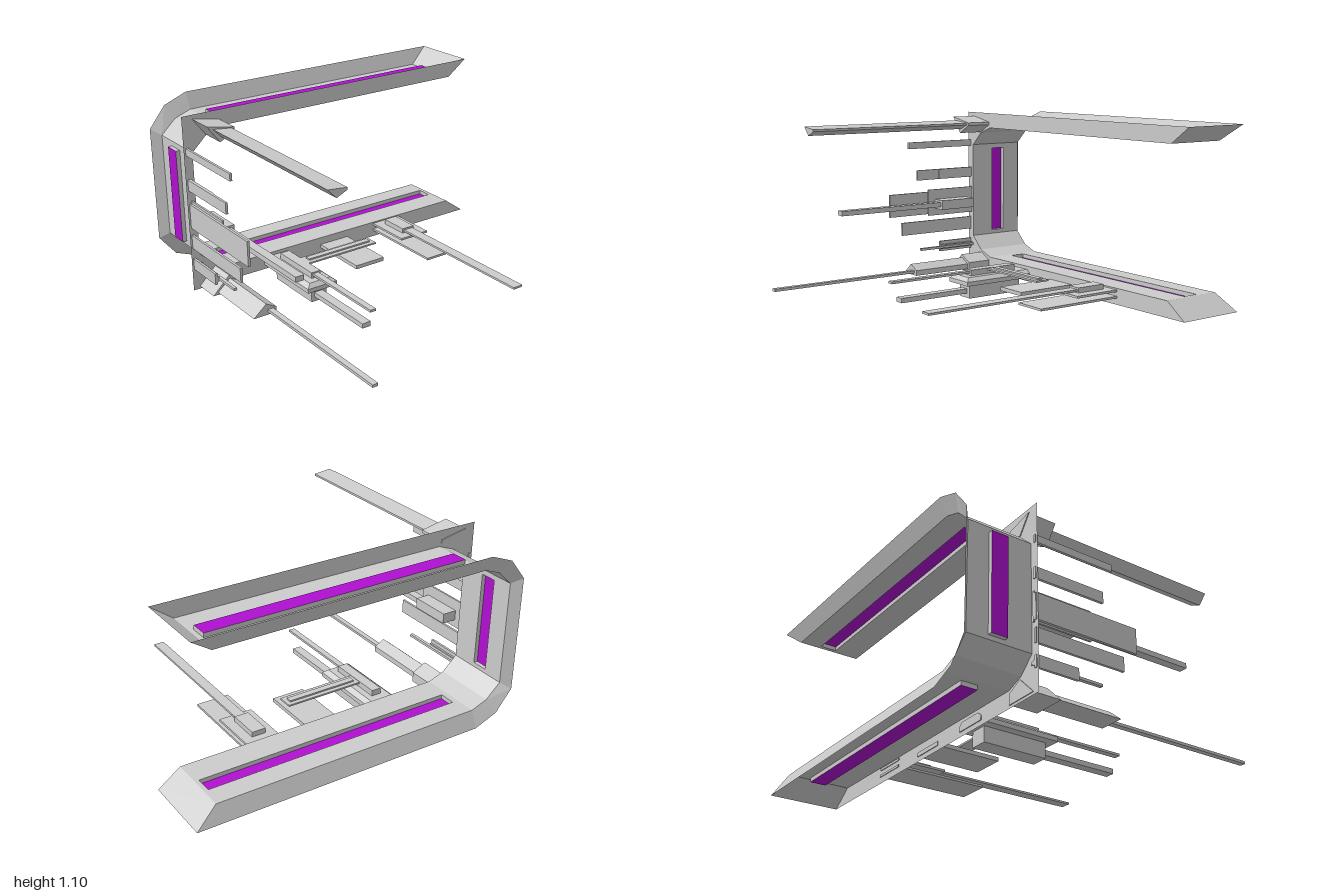
import * as THREE from 'three';

const FRONT = -0.55, BACK_IN = -0.922, BACK_OUT = -0.965, MID_Y = 0.58;

export function createModel() {
  const model = new THREE.Group();
  const grey = new THREE.MeshStandardMaterial({ color: 0xcccccc, flatShading: true });
  const shell = new THREE.MeshStandardMaterial({ color: 0xcccccc, flatShading: true, side: THREE.DoubleSide });
  const purple = new THREE.MeshStandardMaterial({ color: 0xb010d0, flatShading: true, side: THREE.DoubleSide });

  const add = (name, geometry, material = grey, parent = model) => {
    const mesh = new THREE.Mesh(geometry, material);
    mesh.name = name;
    parent.add(mesh);
    return mesh;
  };

  // Flat quads joining two rows of points
  const loft = (a, b, closed = false) => {
    const p = [];
    for (let i = 0; i < a.length - (closed ? 0 : 1); i++) {
      const j = (i + 1) % a.length;
      for (const v of [a[i], a[j], b[j], a[i], b[j], b[i]]) p.push(...v);
    }
    const g = new THREE.BufferGeometry();
    g.setAttribute('position', new THREE.Float32BufferAttribute(p, 3));
    g.computeVertexNormals();
    return g;
  };

  // Half outlines of the open frame, mirrored about its middle height
  const mirror = half => [...half, ...half.slice().reverse().map(([x, y]) => [x, 2 * MID_Y - y])];
  const at = (pts, z) => pts.map(([x, y]) => [x, y, z]);
  const inner = mirror([[0.87, 1.005], [-0.76, 1.005], [-0.86, 0.968], [-0.948, 0.885]]);
  const squareOuter = mirror([[1, 1.1], [-0.76, 1.1], [-1, 1.1], [-1, 0.885]]);
  const cutOuter = mirror([[1, 1.1], [-0.76, 1.1], [-0.9, 1.045], [-1, 0.92]]);

  const frame = new THREE.Group();
  frame.name = 'frame';
  model.add(frame);
  add('frontFace', loft(at(squareOuter, FRONT), at(inner, FRONT)), shell, frame);
  add('backFace', loft(at(cutOuter, BACK_OUT), at(inner, BACK_IN)), shell, frame);
  for (const [name, i] of [['upperCorner', 1], ['lowerCorner', 4]]) {
    const part = inner.slice(i, i + 3);
    add(name, loft(at(part, FRONT), at(part, BACK_IN)), shell, frame);
  }
  for (const [name, i] of [['upperEndCap', 0], ['lowerEndCap', 7]]) {
    const [ox, oy] = squareOuter[i], [ix, iy] = inner[i];
    add(name, loft([[ox, oy, FRONT], [ox, oy, BACK_OUT]], [[ix, iy, FRONT], [ix, iy, BACK_IN]]), shell, frame);
  }

  // Inner panel with a slot holding a recessed light strip
  const slottedPanel = (name, u0, u1, s0, s1, place) => {
    const rect = (a, b, z0, z1, d) => [[a, z0], [b, z0], [b, z1], [a, z1]].map(([u, z]) => place(u, z, d));
    const rim = rect(s0, s1, -0.8, -0.705, 0), floor = rect(s0, s1, -0.8, -0.705, 0.025);
    add(name + 'Panel', loft(rect(u0, u1, BACK_IN, FRONT, 0), rim, true), shell, frame);
    add(name + 'SlotWall', loft(rim, floor, true), shell, frame);
    add(name + 'Light', loft([floor[0], floor[1]], [floor[3], floor[2]]), purple, frame);
  };
  slottedPanel('upper', -0.76, 0.87, -0.725, 0.845, (u, z, d) => [u, 1.005 + d, z]);
  slottedPanel('lower', -0.76, 0.87, -0.725, 0.845, (u, z, d) => [u, 0.155 - d, z]);
  slottedPanel('side', 0.275, 0.885, 0.3, 0.855, (u, z, d) => [-0.948 - d, u, z]);

  // Box given by its limits
  const bar = (name, x0, x1, y0, y1, z1, z0 = FRONT - 0.005) =>
    add(name, new THREE.BoxGeometry(x1 - x0, y1 - y0, z1 - z0)
      .translate((x0 + x1) / 2, (y0 + y1) / 2, (z0 + z1) / 2));

  // Polygon rod running forward
  const prism = (name, pts, z1, z0 = FRONT - 0.005) =>
    add(name, new THREE.ExtrudeGeometry(new THREE.Shape(pts.map(p => new THREE.Vector2(...p))),
      { depth: z1 - z0, bevelEnabled: false }).translate(0, 0, z0));

  // Corner sockets and rods
  prism('upperCornerSocket', [[-0.936, 1.075], [-0.86, 0.973], [-0.77, 1.025], [-0.77, 1.043]], -0.385);
  prism('upperCornerRod', [[-0.9, 1.053], [-0.85, 1.0], [-0.787, 1.028], [-0.787, 1.04]], 0.705);
  prism('lowerCornerSocket', [[-0.96, 0.075], [-0.77, 0.075], [-0.77, 0.134], [-0.855, 0.177]], -0.39);
  prism('lowerCornerSleeve', [[-0.93, 0.09], [-0.787, 0.09], [-0.787, 0.123], [-0.85, 0.157]], 0.005);
  bar('lowerCornerRod', -0.84, -0.807, 0.104, 0.12, 0.965, -0.1);

  // Thin fins on the side wall
  for (const [y0, y1, z1] of [[0.876, 0.918, -0.065], [0.67, 0.735, -0.13], [0.445, 0.59, 0.08],
    [0.32, 0.402, -0.01], [0.19, 0.257, -0.3]]) bar('sideFin', -0.988, -0.974, y0, y1, z1);
  bar('sideFinOverlay', -0.974, -0.963, 0.435, 0.605, -0.205);
  bar('sideFinOverlay', -0.974, -0.969, 0.675, 0.735, -0.29);
  bar('sideNeedleBase', -0.974, -0.963, 0.205, 0.235, -0.3);
  bar('sideNeedle', -0.965, -0.945, 0.213, 0.228, -0.135);
  bar('sideBlock', -0.963, -0.875, 0.48, 0.54, -0.255, -0.5);
  bar('sideRod', -0.943, -0.893, 0.497, 0.527, 0.468, -0.3);

  // Double launcher on the lower beam, with a bevelled base
  const base = bar('launcherBase', -0.53, -0.335, 0.113, 0.135, -0.075);
  const pos = base.geometry.attributes.position;
  for (let i = 0; i < pos.count; i++) {
    if (pos.getY(i) > 0.12) {
      pos.setX(i, -0.4325 + (pos.getX(i) + 0.4325) * 0.72);
      if (pos.getZ(i) > -0.3) pos.setZ(i, -0.1);
    }
  }
  base.geometry.computeVertexNormals();
  bar('launcherPlate', -0.53, -0.335, 0.087, 0.113, -0.075);
  bar('launcherLowerBlock', -0.48, -0.378, 0, 0.087, -0.12, -0.5);
  bar('launcherLowerRod', -0.46, -0.405, 0.028, 0.057, 0.35, -0.2);
  bar('launcherUpperBlock', -0.46, -0.4, 0.13, 0.17, -0.145, -0.48);
  bar('launcherUpperRod', -0.45, -0.413, 0.148, 0.162, 0.41, -0.2);

  // Central plate and cross bar
  bar('centrePlate', -0.13, 0.07, 0.087, 0.11, -0.17);
  bar('crossBar', -0.405, 0.085, 0.157, 0.167, -0.27, -0.36);
  bar('crossBarRib', -0.375, 0.06, 0.167, 0.176, -0.298, -0.335);

  // Stacked plates with the long rod
  bar('lowerPlate', 0.27, 0.47, 0.097, 0.11, 0.003);
  bar('upperPlate', 0.27, 0.47, 0.134, 0.147, -0.255);
  bar('rodBlock', 0.325, 0.41, 0.147, 0.177, -0.315, -0.5);
  bar('longRod', 0.337, 0.4, 0.154, 0.166, 0.68, -0.35);

  return model;
}
